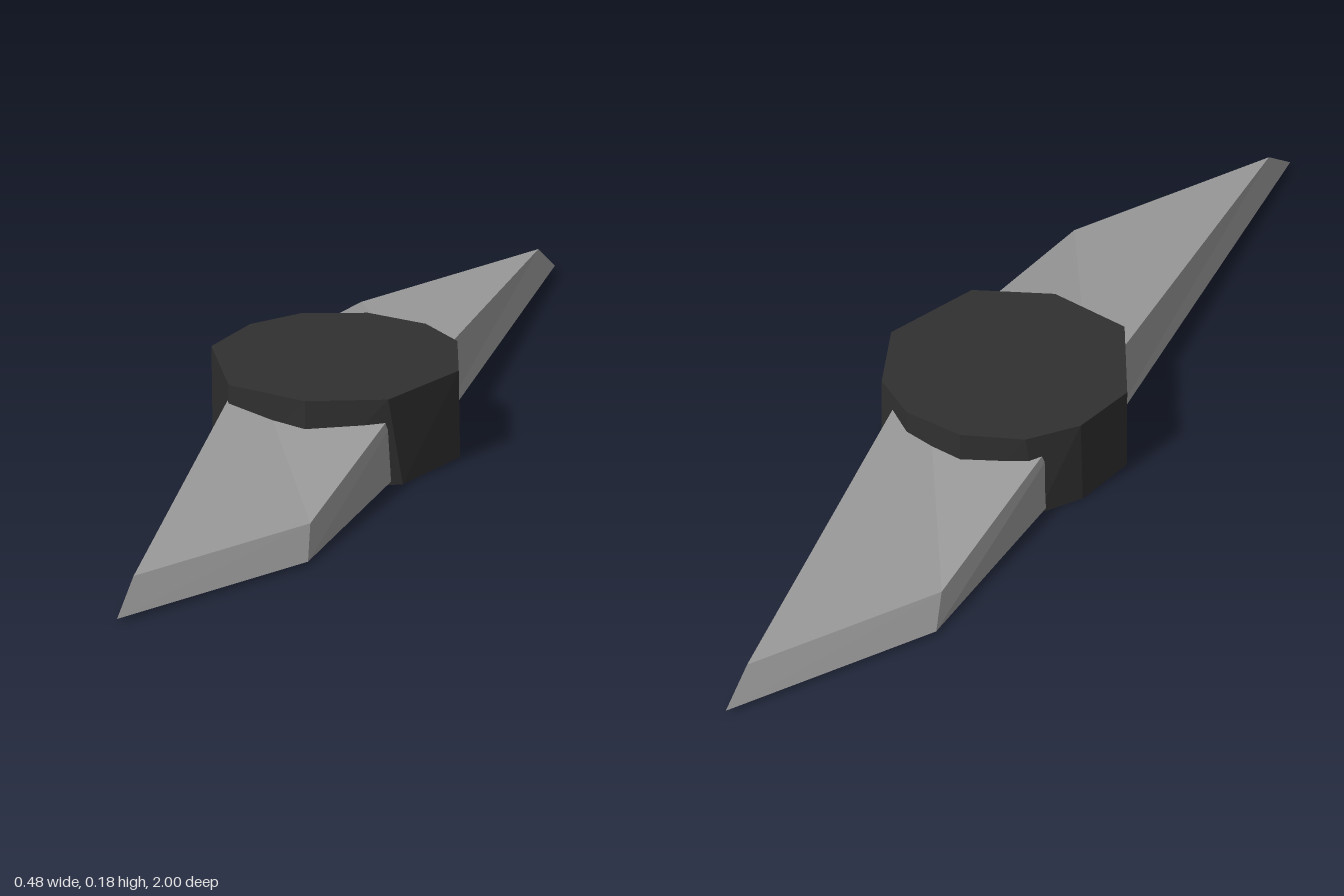
import * as THREE from 'three';

// Closed solid between two counter-clockwise rings of [x, y, z] corners.
function loft(bottom, top, caps, color, name) {
  const n = bottom.length;
  const index = [];
  for (let i = 0; i < n; i++) {
    const j = (i + 1) % n;
    index.push(i, j, n + j, i, n + j, n + i);
  }
  for (const [a, b, c] of caps) index.push(n + a, n + b, n + c, c, b, a);
  const geometry = new THREE.BufferGeometry();
  geometry.setAttribute('position', new THREE.Float32BufferAttribute([...bottom, ...top].flat(), 3));
  geometry.setIndex(index);
  const flat = geometry.toNonIndexed();
  flat.computeVertexNormals();
  const mesh = new THREE.Mesh(flat, new THREE.MeshStandardMaterial({ color, flatShading: true }));
  mesh.name = name;
  return mesh;
}

// Repeats half an outline turned by 180 degrees about y.
const bothWays = (half) => [...half, ...half.map(([x, y, z]) => [-x, y, -z])];

export function createModel() {
  const model = new THREE.Group();
  model.name = 'propeller';

  // Two swept, tapering blades sharing their root under the hub
  const bladeBottom = bothWays([[-0.17, 0.007, 1], [0.104, 0.007, 0.62], [0.17, 0.007, 0]]);
  const bladeTop = bothWays([[-0.157, 0.067, 0.925], [0.097, 0.067, 0.575], [0.167, 0.16, 0]]);
  const bladeCaps = [[0, 1, 5], [1, 2, 5], [3, 4, 2], [4, 5, 2]];
  model.add(loft(bladeBottom, bladeTop, bladeCaps, 0x999999, 'blades'));

  // Roughly cut ten-sided hub
  const rimTop = [[0, 0.237], [0.15, 0.19], [0.241, 0.01], [0.2, -0.14], [0.12, -0.213],
    [0, -0.242], [-0.12, -0.21], [-0.2, -0.13], [-0.242, 0], [-0.16, 0.19]];
  const rimBottom = [[0, 0.237], [0.172, 0.165], [0.241, 0], [0.2, -0.14], [0.12, -0.213],
    [0, -0.242], [-0.14, -0.195], [-0.2, -0.12], [-0.237, 0.01], [-0.16, 0.185]];
  const ring = (points, y) => points.map(([x, z]) => [x, y, z]);
  const hubCaps = [];
  for (let i = 1; i < 9; i++) hubCaps.push([0, i, i + 1]);
  model.add(loft(ring(rimBottom, 0), ring(rimTop, 0.178), hubCaps, 0x303030, 'hub'));

  return model;
}
